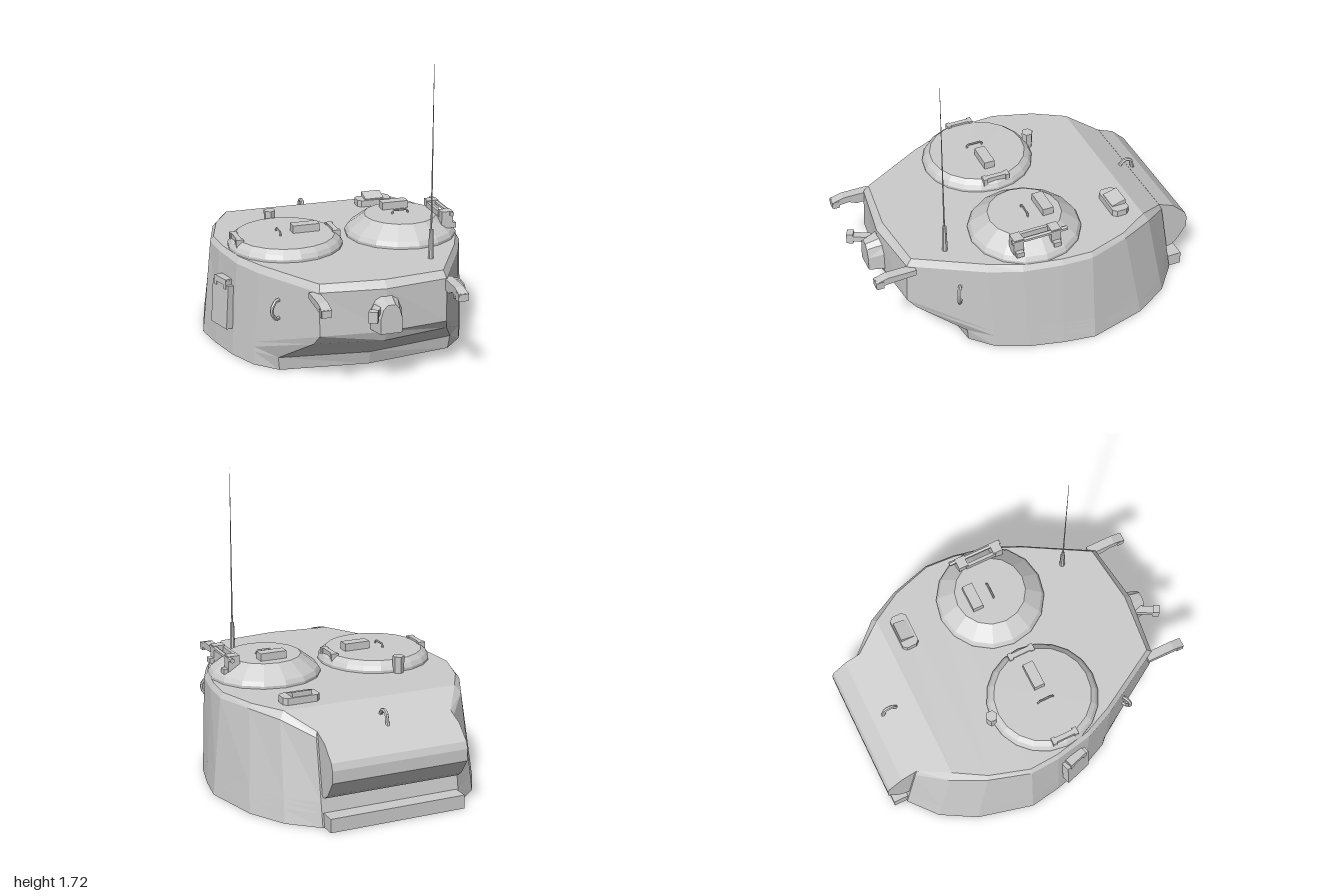
import * as THREE from 'three';

const grey = new THREE.MeshStandardMaterial({ color: 0xcccccc, flatShading: true, side: THREE.DoubleSide });

function add(parent, name, geometry, x = 0, y = 0, z = 0) {
  const mesh = new THREE.Mesh(geometry, grey);
  mesh.name = name;
  mesh.position.set(x, y, z);
  parent.add(mesh);
  return mesh;
}
const box = (parent, name, w, h, d, x, y, z) => add(parent, name, new THREE.BoxGeometry(w, h, d), x, y, z);

function group(parent, name, x, y, z) {
  const g = new THREE.Group();
  g.name = name;
  g.position.set(x, y, z);
  parent.add(g);
  return g;
}

// Bent rod through a few points
function rod(parent, name, points, radius, x, y, z) {
  const path = new THREE.CurvePath();
  const p = points.map(a => new THREE.Vector3(...a));
  for (let i = 1; i < p.length; i++) path.add(new THREE.LineCurve3(p[i - 1], p[i]));
  return add(parent, name, new THREE.TubeGeometry(path, (p.length - 1) * 3, radius, 6), x, y, z);
}

// Side profile given as [z, y], extruded across x and centred
function profileAcross(points, width) {
  const shape = new THREE.Shape(points.map(([z, y]) => new THREE.Vector2(-z, y)));
  const geo = new THREE.ExtrudeGeometry(shape, { depth: width, bevelEnabled: false });
  return geo.translate(0, 0, -width / 2).rotateY(Math.PI / 2);
}

// Cast shell: mirrored cross-sections from nose to rear, open underneath
function shellGeometry() {
  const nose = [
    [[0, .6, .8], [0, .56, .84], [0, .31, .84], [0, .25, .82], [0, .08, .57], [0, 0, .55]],
    [[.36, .6, .76], [.37, .56, .79], [.37, .31, .8], [.39, .25, .75], [.52, .08, .49], [.51, 0, .48]],
  ];
  // roof x, z, y | shoulder x, z, y | base x, z
  const sides = [
    [.58, .38, .6, .6, .39, .56, .63, .36],
    [.66, .2, .6, .68, .21, .565, .71, .18],
    [.705, -.02, .6, .725, -.02, .57, .76, -.02],
    [.715, -.2, .6, .735, -.2, .57, .79, -.21],
    [.64, -.44, .6, .66, -.45, .575, .705, -.55],
    [.53, -.625, .6, .56, -.65, .56, .585, -.76],
    [.41, -.8, .52, .42, -.815, .49, .42, -.9],
  ];
  const stations = nose.concat(sides.map(([rx, rz, ry, sx, sz, sy, bx, bz]) => {
    const lerp = (y) => {
      const t = (sy - y) / sy;
      return [sx + (bx - sx) * t, y, sz + (bz - sz) * t];
    };
    return [[rx, ry, rz], [sx, sy, sz], lerp(.14), lerp(.11), lerp(.08), lerp(0)];
  }));
  const pos = [];
  const quad = (a, b, c, d) => pos.push(...a, ...b, ...c, ...a, ...c, ...d);
  const flip = ([x, y, z]) => [-x, y, z];
  for (let i = 0; i < stations.length - 1; i++) {
    const s = stations[i], n = stations[i + 1];
    for (let j = 0; j < 5; j++) {
      quad(s[j], s[j + 1], n[j + 1], n[j]);
      quad(flip(n[j]), flip(n[j + 1]), flip(s[j + 1]), flip(s[j]));
    }
    quad(s[0], n[0], flip(n[0]), flip(s[0]));
  }
  const end = stations.at(-1);
  for (let j = 0; j < 5; j++) quad(end[j], end[j + 1], flip(end[j + 1]), flip(end[j]));
  const geo = new THREE.BufferGeometry();
  geo.setAttribute('position', new THREE.Float32BufferAttribute(pos, 3));
  geo.computeVertexNormals();
  return geo;
}

const lathe = (points, sides) => new THREE.LatheGeometry(points.map(p => new THREE.Vector2(...p)), sides);

export function createModel() {
  const turret = new THREE.Group();
  turret.name = 'turret';
  add(turret, 'shell', shellGeometry());

  // Rear stowage bin and the ledge below it
  add(turret, 'rearBin', profileAcross([[-.8, .522], [-.9, .48], [-.985, .4], [-1, .36], [-1, .29],
    [-.94, .2], [-.9, .17], [-.85, .17]], .82));
  box(turret, 'rearLedge', .82, .08, .1, 0, .04, -.93);

  // Raised cupola on the left
  const cupola = group(turret, 'cupola', .36, .6, .06);
  add(cupola, 'dome', lathe([[.33, 0], [.33, .015], [.315, .04], [.235, .1], [.215, .115], [0, .115]], 16));
  box(cupola, 'periscope', .16, .045, .065, 0, .137, -.115);
  rod(cupola, 'hatchHandle', [[-.05, .11, 0], [-.045, .135, 0], [.045, .135, 0], [.05, .11, 0]], .006, 0, 0, 0);
  for (const z of [-.08, .15]) {
    box(cupola, 'hingeBlock', .07, .1, .06, .23, .105, z);
    box(cupola, 'hingeFoot', .1, .03, .045, .24, .065, z);
  }
  add(cupola, 'hingeBar', new THREE.CylinderGeometry(.014, .014, .34, 6).rotateX(Math.PI / 2), .255, .14, .02);
  box(cupola, 'hingePlate', .02, .035, .2, .2, .13, .035);

  // Low round hatch on the right
  const hatch = group(turret, 'roundHatch', -.35, .6, .06);
  add(hatch, 'hatchDisc', lathe([[.335, 0], [.335, .015], [.32, .04], [.29, .065], [0, .068]], 20));
  box(hatch, 'periscope', .16, .045, .065, .12, .09, 0);
  rod(hatch, 'hatchHandle', [[0, .065, -.05], [0, .088, -.045], [0, .088, .045], [0, .065, .05]], .006, -.04, 0, 0);
  for (const x of [-.29, .29]) {
    box(hatch, 'hinge', .03, .035, .16, x, .06, 0);
    for (const z of [-.07, .07]) box(hatch, 'hingeLug', .045, .045, .025, x, .055, z);
  }
  add(turret, 'roofLamp', new THREE.CylinderGeometry(.036, .032, .1, 6), -.35, .65, -.275);

  // Rear roof ventilator
  const pad = new THREE.Shape([[-.11, -.03], [-.09, -.052], [.09, -.052], [.11, -.03], [.11, .03],
    [.09, .052], [-.09, .052], [-.11, .03]].map(p => new THREE.Vector2(...p)));
  add(turret, 'ventilatorBase',
    new THREE.ExtrudeGeometry(pad, { depth: .04, bevelEnabled: false }).rotateX(-Math.PI / 2), .385, .6, -.505);
  add(turret, 'ventilatorHood',
    profileAcross([[-.465, .63], [-.465, .645], [-.55, .67], [-.55, .63]], .12), .385, 0, 0);

  // Lifting eyes: one on the rear slope, one on each cheek
  rod(turret, 'rearLiftingEye', [[0, -.02, .05], [0, .04, .045], [0, .07, .015], [0, .06, -.025], [0, -.02, -.045]],
    .012, 0, .51, -.79);
  for (const s of [-1, 1]) {
    rod(turret, 'cheekLiftingEye', [[-.03, .05, -.02], [.02, .055, .012], [.045, .02, .025],
      [.045, -.02, .025], [.02, -.055, .012], [-.03, -.05, -.02]].map(([x, y, z]) => [x * s, y, z]),
    .011, .525 * s, .39, .53);

    // Forward bracket arms: top strip, side web and drooped tip
    const arm = group(turret, 'bracketArm', .39 * s, 0, 0);
    add(arm, 'armStrip', profileAcross([[.75, .555], [.92, .555], [.99, .535], [.99, .495], [.93, .51], [.75, .52]], .055));
    add(arm, 'armWeb', profileAcross([[.75, .53], [.92, .53], [.84, .49], [.75, .49]], .015), -.02 * s, 0, 0);
    box(arm, 'armTip', .06, .045, .04, 0, .515, .965);
  }

  // Arched gun mount with tapered face
  const arch = new THREE.Shape([[-.1, .33], [.1, .33], [.1, .45], [.075, .505], [.035, .53],
    [-.035, .53], [-.075, .505], [-.1, .45]].map(p => new THREE.Vector2(...p)));
  const mount = new THREE.ExtrudeGeometry(arch, { depth: .13, bevelEnabled: false });
  const p = mount.attributes.position;
  for (let i = 0; i < p.count; i++) {
    if (p.getZ(i) > .1) p.setXYZ(i, p.getX(i) * .62, p.getY(i) > .4 ? p.getY(i) - .035 : p.getY(i), p.getZ(i));
  }
  mount.computeVertexNormals();
  add(turret, 'gunMount', mount, 0, 0, .79);
  const sight = group(turret, 'sightArm', -.1, .46, .93);
  sight.rotation.y = -.5;
  box(sight, 'sightBar', .045, .035, .14, 0, 0, -.02);
  box(sight, 'sightTip', .05, .065, .04, 0, 0, .04);

  // Side port door on the right wall
  const port = group(turret, 'sidePort', -.735, .3, .1);
  port.rotation.y = .3;
  port.rotation.z = -.07;
  box(port, 'portDoor', .05, .26, .17, 0, -.01, 0);
  box(port, 'portHinge', .05, .035, .12, -.005, .135, 0);
  for (const z of [-.05, .05]) box(port, 'portHingeLug', .06, .05, .025, 0, .12, z);

  // Aerial
  add(turret, 'aerialBase', new THREE.CylinderGeometry(.013, .017, .17, 8), .365, .685, .555);
  add(turret, 'aerialMast', new THREE.CylinderGeometry(.0012, .005, .96, 6), .365, 1.24, .555);

  return turret;
}
